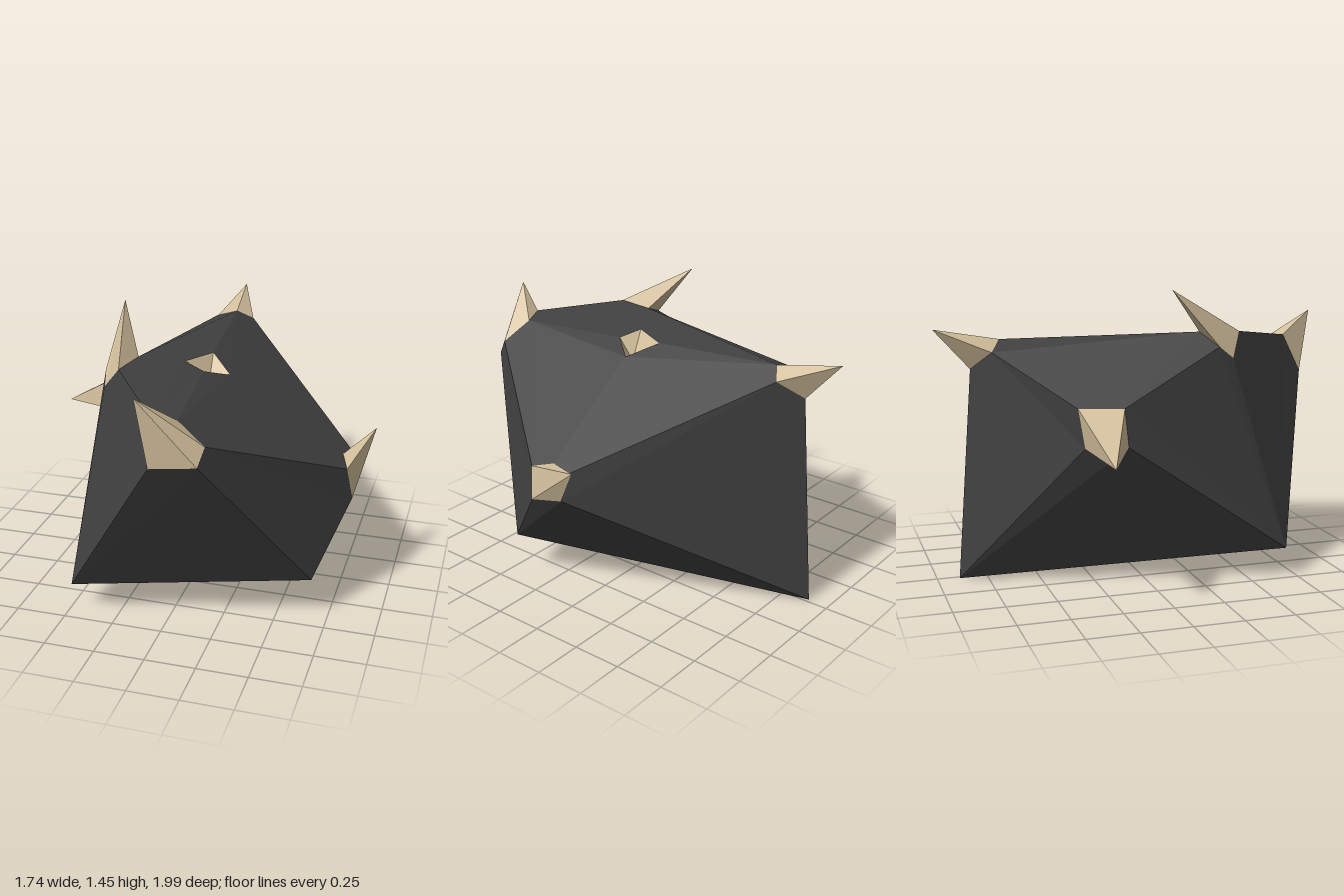
import * as THREE from 'three';

// Corners where the stone touches the ground or stays plain
const corners = {
  A: [-0.48, 0.15, 0.69], // front left-hand foot
  B: [0.67, 0.22, 0.44],  // front right-hand foot
  C: [-0.02, 0, -0.89],   // rear foot
};

// Cut-off corners: a ring of points (counter-clockwise from outside), each keyed
// by the neighbour its edge runs to, and the tip of the spike that sits on it
const spikes = {
  F: { name: 'frontSpike', tip: [-0.02, 1.3, 1.0], ring: {
    A: [0.03, 0.97, 0.98], B: [0.24, 0.98, 0.935], R: [0.26, 1.06, 0.88], M: [0.12, 1.15, 0.83], T: [0.01, 1.17, 0.87] } },
  T: { name: 'topSpike', tip: [-0.37, 1.45, 0.11], ring: {
    A: [-0.37, 1.11, 0.43], F: [-0.27, 1.23, 0.5], M: [-0.24, 1.23, 0.3], L: [-0.39, 1.17, 0.35] } },
  M: { name: 'topSocket', tip: [0.07, 1.06, 0.155], ring: { // sunken, so its tip lies below the ring
    K: [0.05, 1.18, 0], T: [-0.04, 1.19, 0.19], F: [0.07, 1.165, 0.24], R: [0.17, 1.115, 0.12] } },
  K: { name: 'backSpike', tip: [-0.03, 1.26, -0.99], ring: {
    M: [0, 1.2, -0.66], R: [0.08, 1.15, -0.71], C: [-0.02, 1.06, -0.81], L: [-0.12, 1.15, -0.72] } },
  L: { name: 'sideSpikeLow', tip: [-0.87, 0.71, -0.32], ring: {
    K: [-0.49, 0.92, -0.39], C: [-0.5, 0.73, -0.36], A: [-0.575, 0.74, -0.17], T: [-0.545, 0.92, -0.18] } },
  R: { name: 'sideSpikeHigh', tip: [0.87, 0.81, -0.14], ring: {
    F: [0.78, 0.72, 0.2], B: [0.81, 0.56, 0.18], C: [0.8, 0.6, 0], K: [0.77, 0.73, -0.01], M: [0.74, 0.75, 0.09] } },
};

// Facets of the stone; "FA" is the point of ring F on the edge towards A
const facets = [
  'A B FB FA', 'A FA FT TF TA', 'A TA TL LT LA', 'FT FM MF MT TM TF',
  'FM FR RF RM MR MF', 'FR FB B RB RF', 'B C RC RB', 'KR KC C RC RK',
  'KM KR RK RM MR MK', 'TM MT MK KM', 'TM KM KL LK LT TL',
  'KL KC C LC LK', 'C A LA LC', 'A C B',
];

const vec = (p) => new THREE.Vector3(...p);
const point = (key) => vec(key.length === 1 ? corners[key] : spikes[key[0]].ring[key[1]]);

function facetedMesh(name, points, material) {
  const geometry = new THREE.BufferGeometry().setFromPoints(points);
  geometry.computeVertexNormals();
  const mesh = new THREE.Mesh(geometry, material);
  mesh.name = name;
  return mesh;
}

// Fan of triangles for one facet, turned to face away from the middle of the stone
function facetTriangles(facet, middle) {
  const p = facet.split(' ').map(point);
  const normal = new THREE.Vector3();
  const triangles = [];
  for (let i = 1; i < p.length - 1; i++) {
    triangles.push([p[0], p[i], p[i + 1]]);
    normal.add(p[i].clone().sub(p[0]).cross(p[i + 1].clone().sub(p[0])));
  }
  if (normal.dot(p[0].clone().sub(middle)) < 0) triangles.forEach((t) => t.reverse());
  return triangles.flat();
}

export function createModel() {
  const model = new THREE.Group();
  model.name = 'spikedStone';
  const stone = new THREE.MeshStandardMaterial({ color: 0x404040, flatShading: true });
  stone.name = 'darkStone';
  const bone = new THREE.MeshStandardMaterial({ color: 0xd2bf9c, flatShading: true });
  bone.name = 'paleBone';

  // Faceted body
  const middle = new THREE.Vector3(0, 0.7, 0);
  model.add(facetedMesh('stoneBody', facets.flatMap((f) => facetTriangles(f, middle)), stone));

  // Spikes and the sunken socket: each ring joined to its tip
  for (const { name, tip, ring } of Object.values(spikes)) {
    const base = Object.values(ring).map(vec);
    const triangles = base.flatMap((p, i) => [p, base[(i + 1) % base.length], vec(tip)]);
    model.add(facetedMesh(name, triangles, bone));
  }
  return model;
}
